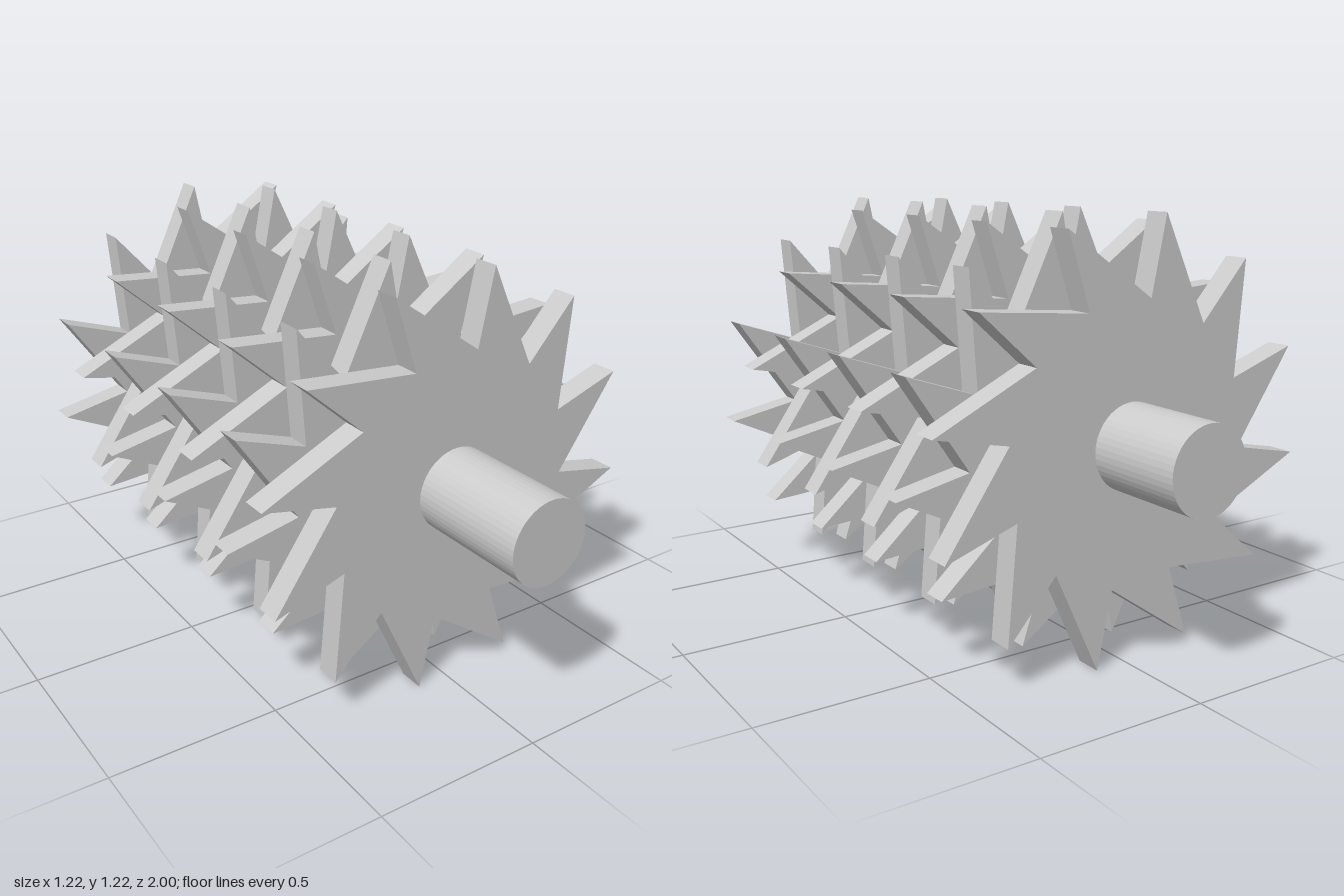
import * as THREE from 'three';

const AXLE_Y = 0.61;
const TEETH = 12;
const THICKNESS = 0.076;

// Saw-toothed disc outline: each tooth leans clockwise
function bladeGeometry() {
  const points = [];
  const polar = (r, deg) => {
    const a = THREE.MathUtils.degToRad(deg);
    points.push(new THREE.Vector2(r * Math.cos(a), r * Math.sin(a)));
  };
  for (let i = 0; i < TEETH; i++) {
    const start = (i * 360) / TEETH;
    polar(0.616, start + 20.7); // tip
    polar(0.392, start + 22); // valley
  }
  const geometry = new THREE.ExtrudeGeometry(new THREE.Shape(points), {
    depth: THICKNESS,
    bevelEnabled: false,
  });
  return geometry.translate(0, 0, -THICKNESS / 2);
}

export function createModel() {
  const group = new THREE.Group();
  group.name = 'toothedRoller';
  const material = new THREE.MeshStandardMaterial({ color: 0xcccccc, flatShading: true });

  // Shaft running the full length
  const shaft = new THREE.Mesh(new THREE.CylinderGeometry(0.121, 0.121, 2, 48), material);
  shaft.name = 'shaft';
  shaft.rotation.x = Math.PI / 2;
  shaft.position.y = AXLE_Y;
  group.add(shaft);

  // Eight blades, every second one turned round so its teeth lean the other way
  const geometry = bladeGeometry();
  for (let i = 0; i < 8; i++) {
    const blade = new THREE.Mesh(geometry, material);
    blade.name = `blade${i + 1}`;
    blade.position.set(0, AXLE_Y, 0.598 - i * 0.181);
    blade.rotation.y = i % 2 ? Math.PI : 0;
    group.add(blade);
  }
  return group;
}
